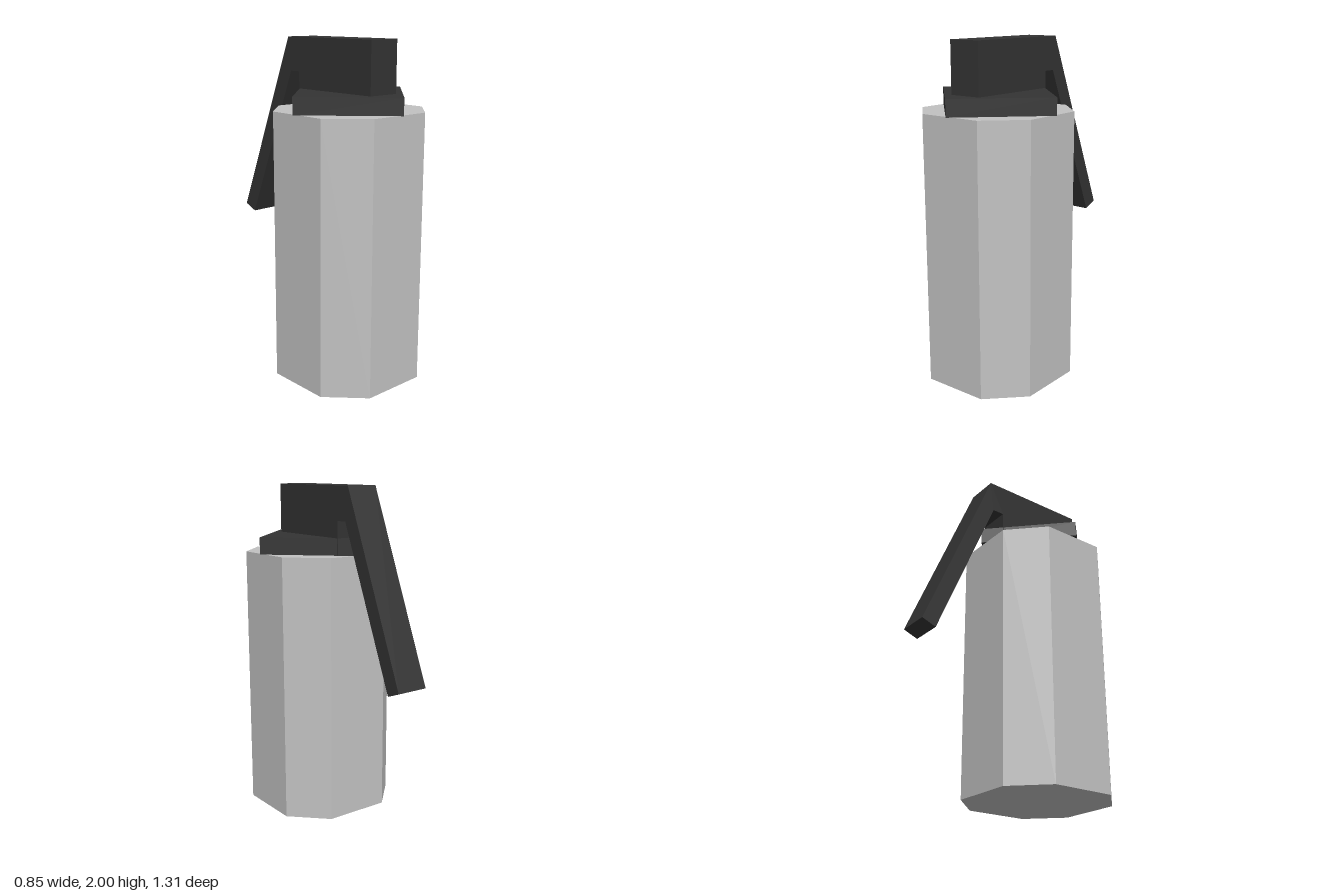
import * as THREE from 'three';

const CENTER_Z = 0.23;

function extrude(points, depth) {
  const shape = new THREE.Shape(points.map(([x, y]) => new THREE.Vector2(x, y)));
  return new THREE.ExtrudeGeometry(shape, { depth, bevelEnabled: false });
}

export function createModel() {
  const group = new THREE.Group();
  const lightGrey = new THREE.MeshStandardMaterial({ color: 0xc2c2c2 });
  lightGrey.name = 'light grey';
  const charcoal = new THREE.MeshStandardMaterial({ color: 0x333333 });
  charcoal.name = 'charcoal';

  const add = (name, geometry, material) => {
    const mesh = new THREE.Mesh(geometry, material);
    mesh.name = name;
    group.add(mesh);
    return mesh;
  };

  // Eight-sided canister with chamfered corners
  const octagon = [
    [0.2, -0.4], [0.4, -0.2], [0.4, 0.2], [0.2, 0.4],
    [-0.2, 0.4], [-0.4, 0.2], [-0.4, -0.2], [-0.2, -0.4],
  ];
  const body = add('canister', extrude(octagon, 1.6).rotateX(-Math.PI / 2), lightGrey);
  body.position.z = CENTER_Z;

  // Square cap plate turned by 45 degrees
  const cap = add('capPlate', new THREE.BoxGeometry(0.6, 0.1, 0.6), charcoal);
  cap.position.set(0, 1.65, CENTER_Z);
  cap.rotation.y = Math.PI / 4;

  // Head block and bent lever in one side profile: [distance to the back, height]
  const profile = [
    [-0.5, 1.602], [0.097, 1.602], [0.097, 1.8], [0.172, 1.8],
    [0.565, 0.86], [0.655, 0.895], [0.195, 2], [-0.5, 2],
  ];
  const lever = extrude(profile, 0.2).translate(0, 0, -0.1).rotateY(Math.PI / 2);
  add('headAndLever', lever, charcoal);

  return group;
}
